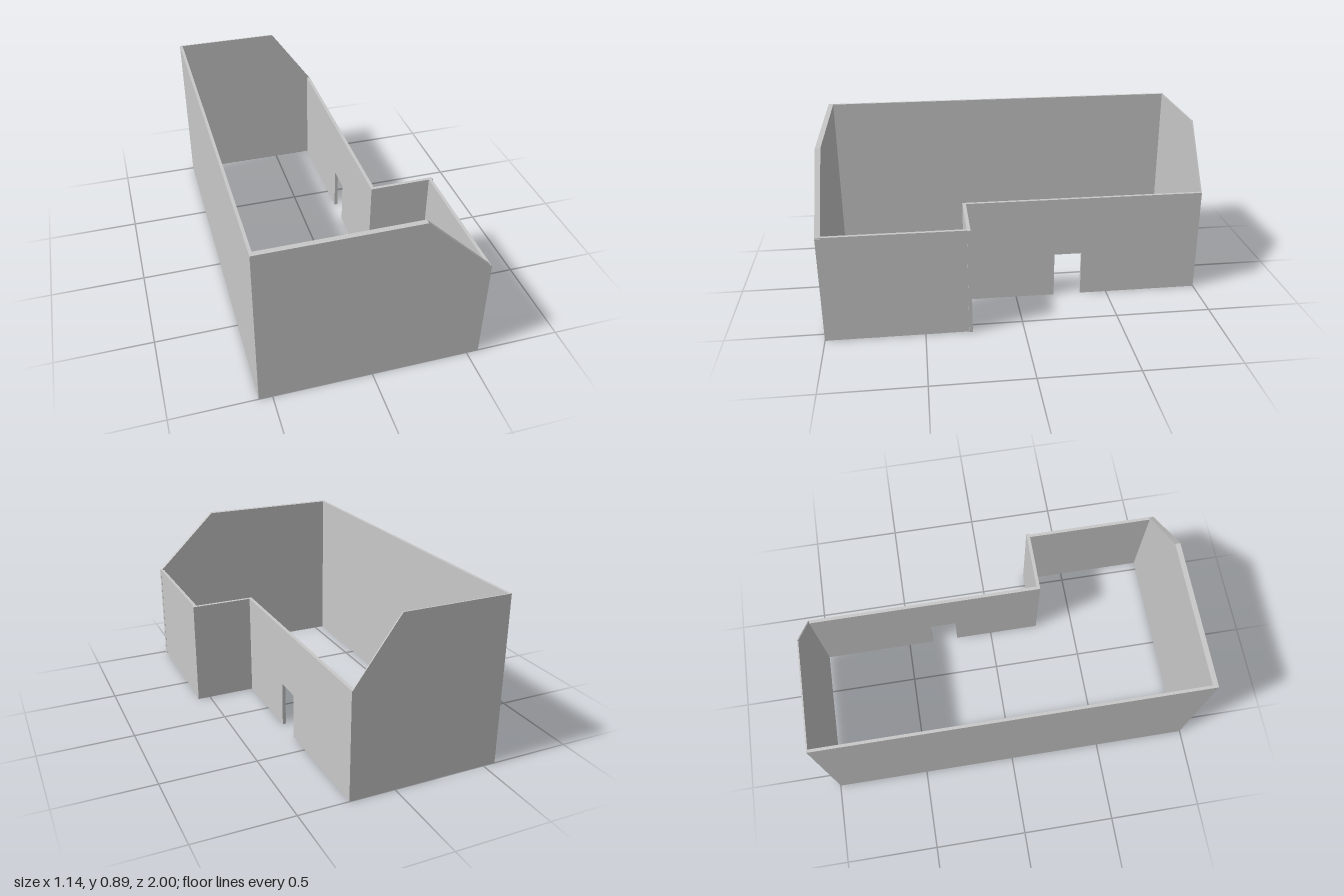
import * as THREE from 'three';

const HIGH = 0.893, LOW = 0.565;

export function createModel() {
  const model = new THREE.Group();
  model.name = 'houseWalls';
  const plaster = new THREE.MeshStandardMaterial({ color: 0xc8c8c8 });
  plaster.name = 'grey plaster';

  const add = (name, geometry) => {
    const mesh = new THREE.Mesh(geometry, plaster);
    mesh.name = name;
    model.add(mesh);
    return mesh;
  };

  // Straight wall between two plan corners
  const wall = (name, x0, x1, z0, z1, height) =>
    add(name, new THREE.BoxGeometry(x1 - x0, height, z1 - z0)
      .translate((x0 + x1) / 2, height / 2, (z0 + z1) / 2));

  // Upright slab cut from an outline and extruded to a thickness
  const slab = (points, depth) => new THREE.ExtrudeGeometry(
    new THREE.Shape(points.map(([x, y]) => new THREE.Vector2(x, y))),
    { depth, bevelEnabled: false });

  // End wall whose right shoulder slopes down to the low walls
  const gable = (name, shoulder, right, z0, z1) =>
    add(name, slab([[-0.567, 0], [right, 0], [right, 0.56], [shoulder, HIGH], [-0.567, HIGH]], z1 - z0)
      .translate(0, 0, z0));

  gable('frontWall', 0.22, 0.563, 0.973, 1);
  gable('backWall', 0, 0.24, -1, -0.993);

  // Tall side and the low stepped side
  wall('leftWall', -0.568, -0.553, -0.999, 0.999, HIGH);
  wall('porchSideWall', 0.545, 0.562, 0.27, 0.998, LOW);
  wall('stepWall', 0.222, 0.568, 0.263, 0.281, LOW);

  // Recessed wall with a doorway; outline runs along z, then turned to face +x
  const doorWall = slab([
    [-0.28, 0], [0.208, 0], [0.208, 0.244], [0.355, 0.244], [0.355, 0],
    [0.998, 0], [0.998, LOW], [-0.28, LOW],
  ], 0.018);
  add('doorWall', doorWall.rotateY(Math.PI / 2).translate(0.222, 0, 0));

  return model;
}
